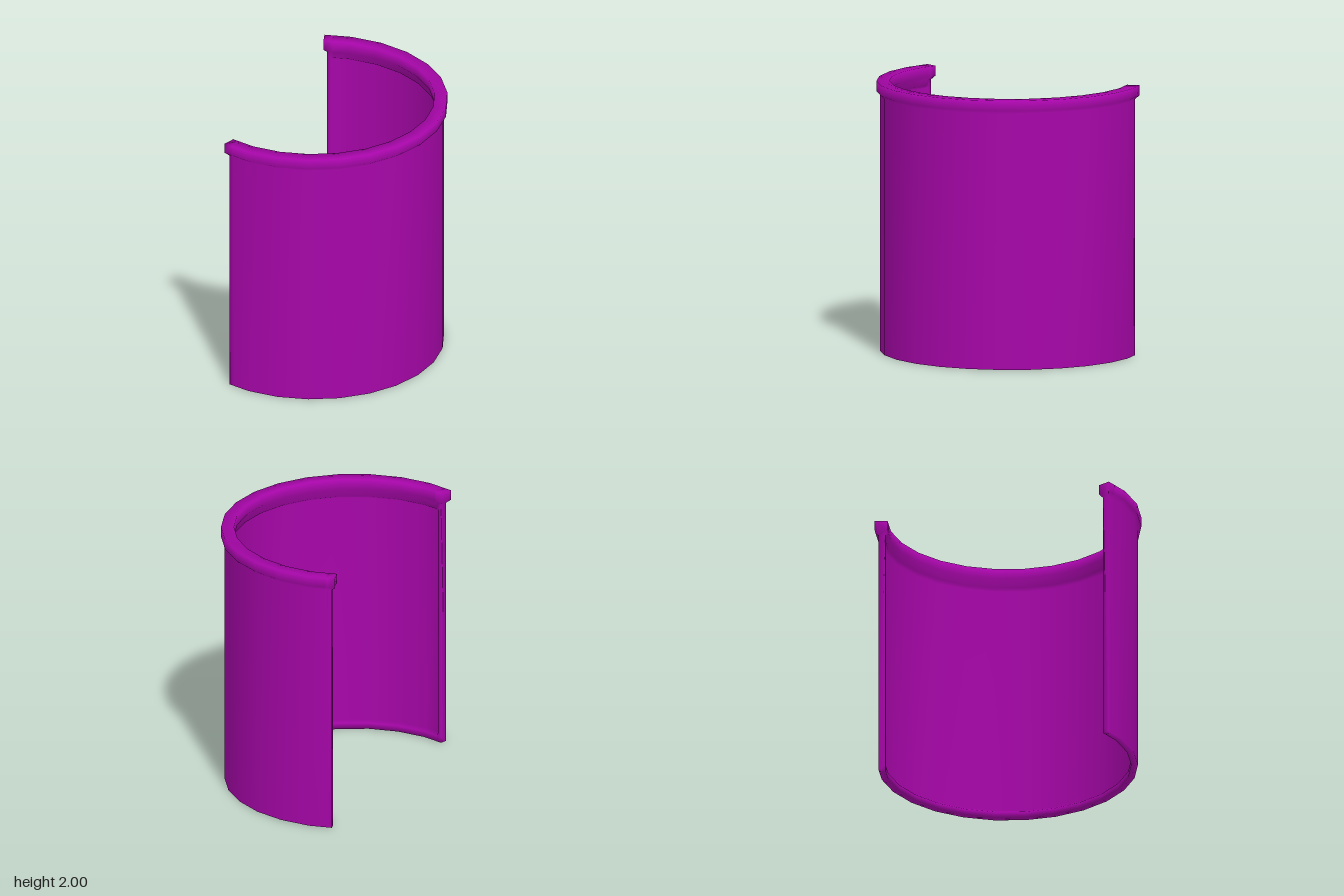
import * as THREE from 'three';

const STEP = (Math.PI * 2) / 26;   // the arc follows a 26-sided ring
const CENTRE_X = -0.333;
const rad = THREE.MathUtils.degToRad;
const WALL_END = rad(107.3), RIM_END = rad(108.9), FRAME_START = rad(104.9);

// Radius factor that keeps in-between stations on the flat sides of the ring
function onSide(a) {
  const m = Math.abs(a) % STEP;
  return Math.cos(STEP / 2) / Math.cos(m - STEP / 2);
}

// Section as [radius, height, end angle]: the rim reaches a little past the wall,
// and the inner face is sunk between a bottom, a top and two upright borders
function sectionAt(a) {
  const frame = 0.905;
  const inner = Math.abs(a) > FRAME_START ? frame : 0.93;
  return [
    [0.955, 0, WALL_END],
    [0.955, 1.9, WALL_END],
    [0.98, 1.925, RIM_END],
    [0.98, 2, RIM_END],
    [0.885, 2, RIM_END],
    [0.885, 1.925, RIM_END],
    [frame, 1.9, WALL_END],
    [frame, 1.855, WALL_END],
    [inner, 1.835, WALL_END],
    [inner, 0.065, WALL_END],
    [frame, 0.045, WALL_END],
    [frame, 0, WALL_END],
  ];
}

// Sweeps the section round the arc and caps both ends, with shared smooth normals
function sweep(angles) {
  const pos = [], index = [];
  for (const a of angles) {
    for (const [r, y, end] of sectionAt(a)) {
      const t = THREE.MathUtils.clamp(a, -end, end);
      const q = r * onSide(t);
      pos.push(CENTRE_X + q * Math.cos(t), y, q * Math.sin(t));
    }
  }
  const outline = sectionAt(RIM_END).map(([r, y]) => new THREE.Vector2(r, y));
  const n = outline.length, last = (angles.length - 1) * n;
  for (let a = 0; a < last; a++) {
    const b = a % n === n - 1 ? a - n + 1 : a + 1;
    index.push(a, b, a + n, b, b + n, a + n);
  }
  for (const [a, b, c] of THREE.ShapeUtils.triangulateShape(outline, [])) {
    index.push(c, b, a, last + a, last + b, last + c);
  }
  const g = new THREE.BufferGeometry();
  g.setAttribute('position', new THREE.Float32BufferAttribute(pos, 3));
  g.setIndex(index);
  g.computeVertexNormals();
  return g;
}

export function createModel() {
  const group = new THREE.Group();
  group.name = 'curvedShield';

  // Ring corners, then the start of the upright border and the end
  const half = [1, 2, 3, 4, 5, 6, 7].map((i) => i * STEP);
  half.push(rad(104.5), rad(105.3), RIM_END);
  const angles = [...half.map((a) => -a).reverse(), 0, ...half];

  const wall = new THREE.Mesh(
    sweep(angles),
    new THREE.MeshStandardMaterial({ color: 0xa706a9 })
  );
  wall.name = 'rimmedWall';
  group.add(wall);
  return group;
}
